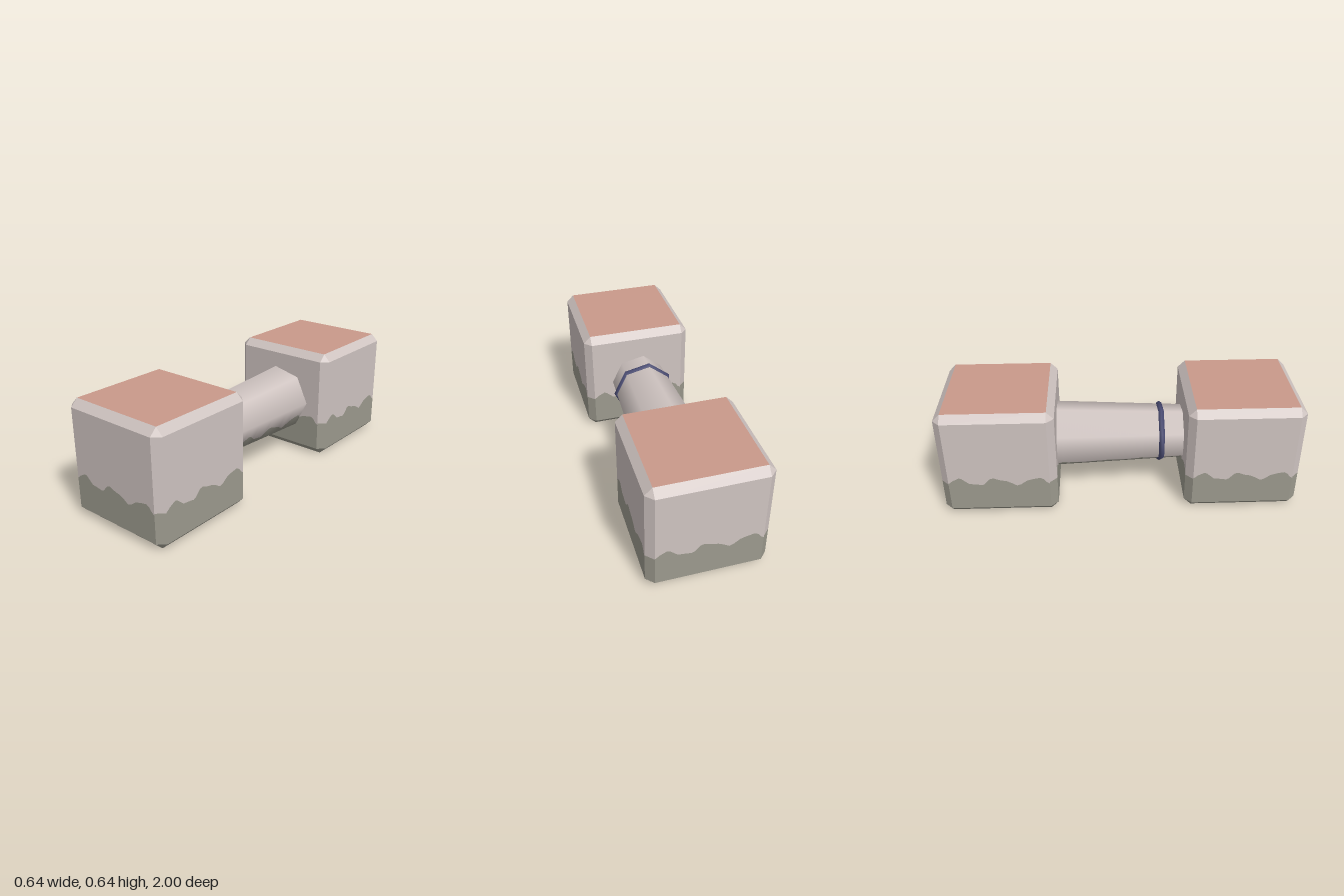
import * as THREE from 'three';
import { mergeGeometries } from 'three/addons/utils/BufferGeometryUtils.js';

const HALF = 0.32, FLAT = 0.28, LOW = 0.04, HIGH = 0.6, TOP = 0.64, EDGE = 0.21;

// Wavy upper edge of the weathered zone, left to right across one face
const WAVE = [
  [-0.28, 0.212], [-0.255, 0.232], [-0.22, 0.25], [-0.205, 0.245], [-0.165, 0.21],
  [-0.12, 0.205], [-0.095, 0.2], [-0.08, 0.208], [-0.05, 0.24], [-0.03, 0.245],
  [0.01, 0.23], [0.04, 0.225], [0.07, 0.21], [0.098, 0.192], [0.12, 0.2],
  [0.155, 0.225], [0.19, 0.235], [0.23, 0.242], [0.25, 0.23], [0.265, 0.21], [0.28, 0.2],
];

function waveAt(u) {
  if (u <= WAVE[0][0]) return WAVE[0][1];
  for (let i = 1; i < WAVE.length; i++) {
    const [a, ya] = WAVE[i - 1], [b, yb] = WAVE[i];
    if (u <= b) return ya + (yb - ya) * (u - a) / (b - a);
  }
  return WAVE[WAVE.length - 1][1];
}

// Flat convex polygon, corners counter-clockwise from outside
function poly(...pts) {
  const pos = [];
  for (let i = 1; i < pts.length - 1; i++) pos.push(...pts[0], ...pts[i], ...pts[i + 1]);
  const g = new THREE.BufferGeometry();
  g.setAttribute('position', new THREE.Float32BufferAttribute(pos, 3));
  g.computeVertexNormals();
  return g;
}

// Part of a side face bounded by the wave and a straight edge at height y
function panel(y) {
  const shape = new THREE.Shape([...WAVE, [FLAT, y], [-FLAT, y]].map(([a, b]) => new THREE.Vector2(a, b)));
  const g = new THREE.ShapeGeometry(shape).toNonIndexed();
  g.deleteAttribute('uv');
  return g.translate(0, 0, HALF);
}

// Upright corner chamfer between two heights
const corner = (y0, y1) => poly([FLAT, y0, HALF], [HALF, y0, FLAT], [HALF, y1, FLAT], [FLAT, y1, HALF]);

function fourSides(parts) {
  const all = [];
  for (let k = 0; k < 4; k++) for (const p of parts) all.push(p.clone().rotateY(k * Math.PI / 2));
  return mergeGeometries(all);
}

// Chamfered cube with weathered lower part and brick end faces
function makeBlock(mats) {
  const block = new THREE.Group();
  const upper = fourSides([
    panel(HIGH), corner(EDGE, HIGH),
    poly([-FLAT, HIGH, HALF], [FLAT, HIGH, HALF], [FLAT, TOP, FLAT], [-FLAT, TOP, FLAT]),
    poly([FLAT, HIGH, HALF], [HALF, HIGH, FLAT], [FLAT, TOP, FLAT]),
  ]);
  const lower = fourSides([
    panel(LOW), corner(LOW, EDGE),
    poly([-FLAT, 0, FLAT], [FLAT, 0, FLAT], [FLAT, LOW, HALF], [-FLAT, LOW, HALF]),
    poly([FLAT, LOW, HALF], [FLAT, 0, FLAT], [HALF, LOW, FLAT]),
  ]);
  const faces = mergeGeometries([
    poly([-FLAT, TOP, FLAT], [FLAT, TOP, FLAT], [FLAT, TOP, -FLAT], [-FLAT, TOP, -FLAT]),
    poly([-FLAT, 0, -FLAT], [FLAT, 0, -FLAT], [FLAT, 0, FLAT], [-FLAT, 0, FLAT]),
  ]);
  for (const [name, g, m] of [
    ['blockUpper', upper, mats.stone], ['blockLower', lower, mats.moss], ['blockEndFaces', faces, mats.brick],
  ]) {
    const mesh = new THREE.Mesh(g, m);
    mesh.name = name;
    block.add(mesh);
  }
  return block;
}

// One half (above or below the wave) of the tapered seven-sided handle
function handlePart(above) {
  const SIDES = 7, STEPS = 48, pos = [], nor = [];
  const angle = k => k * 2 * Math.PI / SIDES;
  const radius = z => 0.178 - z * 0.047;
  const cut = (k, z) => {
    const r = radius(z), y0 = HALF + r * Math.sin(angle(k)), y1 = HALF + r * Math.sin(angle(k + 1));
    const t = THREE.MathUtils.clamp((waveAt(-z - 0.1) - y0) / (y1 - y0), 0, 1);
    return (y1 > y0) === above ? [t, 1] : [0, t];
  };
  const add = (k, z, t) => {
    const a = angle(k), b = angle(k + 1), r = radius(z);
    const x = Math.cos(a) * (1 - t) + Math.cos(b) * t, y = Math.sin(a) * (1 - t) + Math.sin(b) * t;
    pos.push(x * r, HALF + y * r, z);
    nor.push(...new THREE.Vector3(x, y, 0.047 * Math.hypot(x, y)).normalize().toArray());
  };
  for (let k = 0; k < SIDES; k++) {
    for (let i = 0; i < STEPS; i++) {
      const z0 = 0.36 - 0.72 * i / STEPS, z1 = 0.36 - 0.72 * (i + 1) / STEPS;
      const [a0, b0] = cut(k, z0), [a1, b1] = cut(k, z1);
      if (b0 - a0 > 1e-5) { add(k, z0, a0); add(k, z0, b0); add(k, z1, b1); }
      if (b1 - a1 > 1e-5) { add(k, z0, a0); add(k, z1, b1); add(k, z1, a1); }
    }
  }
  const g = new THREE.BufferGeometry();
  g.setAttribute('position', new THREE.Float32BufferAttribute(pos, 3));
  g.setAttribute('normal', new THREE.Float32BufferAttribute(nor, 3));
  // Corner order was laid out front to back, so flip triangles that face inward
  const p = g.attributes.position, A = new THREE.Vector3(), B = new THREE.Vector3(), C = new THREE.Vector3();
  const index = [];
  for (let i = 0; i < p.count; i += 3) {
    A.fromBufferAttribute(p, i); B.fromBufferAttribute(p, i + 1); C.fromBufferAttribute(p, i + 2);
    const n = B.clone().sub(A).cross(C.clone().sub(A));
    const outward = n.x * A.x + n.y * (A.y - HALF) > 0;
    index.push(i, ...(outward ? [i + 1, i + 2] : [i + 2, i + 1]));
  }
  g.setIndex(index);
  return g;
}

export function createModel() {
  const mat = (name, color) => Object.assign(new THREE.MeshStandardMaterial({ color }), { name });
  const mats = {
    stone: mat('pale stone', 0xcfc4c1),
    moss: mat('weathered grey green', 0x9c9a8e),
    brick: mat('brick pink', 0xc9998a),
    band: mat('dark blue', 0x4a4c74),
  };
  const model = new THREE.Group();
  model.name = 'doubleBlock';

  // Front and back blocks
  for (const [name, z] of [['frontBlock', 0.68], ['backBlock', -0.68]]) {
    const block = makeBlock(mats);
    block.name = name;
    block.position.z = z;
    model.add(block);
  }

  // Tapered handle
  for (const [name, above, m] of [['handleUpper', true, mats.stone], ['handleLower', false, mats.moss]]) {
    const mesh = new THREE.Mesh(handlePart(above), m);
    mesh.name = name;
    model.add(mesh);
  }

  // Band around the narrow end
  const ring = new THREE.Mesh(new THREE.TorusGeometry(0.164, 0.018, 6, 7), mats.band);
  ring.name = 'handleBand';
  ring.position.set(0, HALF, 0.235);
  model.add(ring);
  return model;
}
